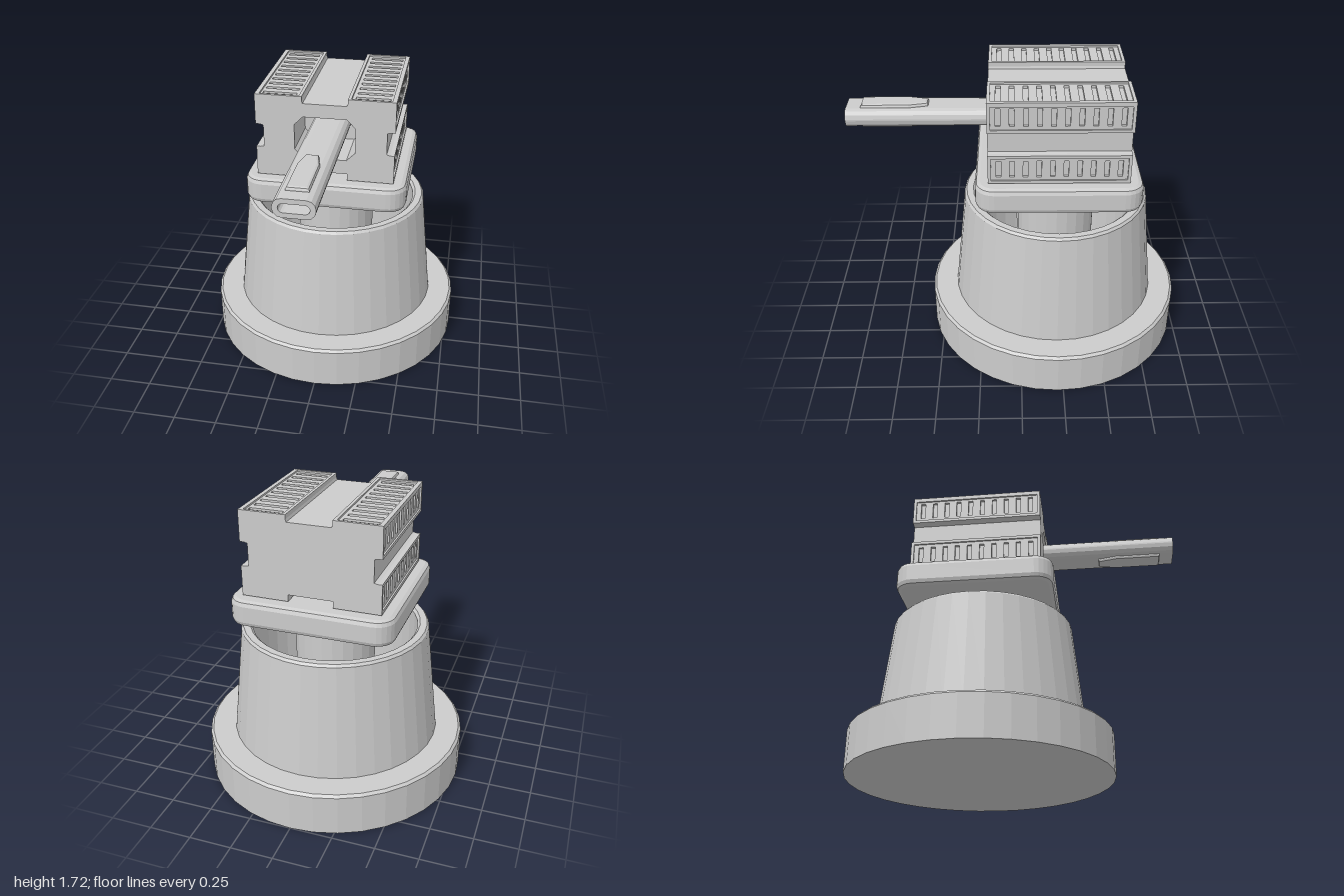
import * as THREE from 'three';

const AXIS_Z = -0.215;
const material = new THREE.MeshStandardMaterial({ color: 0xcccccc, flatShading: true });

function add(parent, name, geometry, x = 0, y = 0, z = 0) {
  const mesh = new THREE.Mesh(geometry, material);
  mesh.name = name;
  mesh.position.set(x, y, z);
  parent.add(mesh);
  return mesh;
}

const points = (list) => list.map(([x, y]) => new THREE.Vector2(x, y));
const lathe = (list, sides = 36) => new THREE.LatheGeometry(points(list), sides);

// Rectangle with corners cut (segments = 1) or rounded
function rectPoints(w, h, r = 0, segments = 1) {
  if (!r) return points([[-w / 2, -h / 2], [w / 2, -h / 2], [w / 2, h / 2], [-w / 2, h / 2]]);
  const out = [];
  for (let corner = 0; corner < 4; corner++) {
    const sx = corner === 0 || corner === 3 ? 1 : -1;
    const sy = corner < 2 ? 1 : -1;
    for (let i = 0; i <= segments; i++) {
      const a = (corner + i / segments) * Math.PI / 2;
      out.push(new THREE.Vector2(sx * (w / 2 - r) + r * Math.cos(a), sy * (h / 2 - r) + r * Math.sin(a)));
    }
  }
  return out;
}

const moved = (list, dx, dy) => list.map((p) => new THREE.Vector2(p.x + dx, p.y + dy));

function extrude(outline, depth, holes = [], bevel = 0) {
  const shape = new THREE.Shape(outline);
  shape.holes = holes.map((h) => new THREE.Path(h));
  return new THREE.ExtrudeGeometry(shape, {
    depth: depth - 2 * bevel, bevelEnabled: bevel > 0, bevelSize: bevel,
    bevelThickness: bevel, bevelOffset: -bevel, bevelSegments: 2,
  }).translate(0, 0, bevel);
}

// Lays an extrusion flat so its depth runs upward
const flat = (geometry) => geometry.rotateX(-Math.PI / 2);

// Slotted cover: recessed grille with a raised rim, growing along local +y
function ventPanel(width, length) {
  const panel = new THREE.Group();
  panel.name = 'ventPanel';
  const slots = [];
  for (let i = 0; i < 10; i++) {
    slots.push(moved(rectPoints(width - 0.075, 0.027), 0, (i - 4.5) * 0.075));
  }
  add(panel, 'grille', flat(extrude(rectPoints(width, length), 0.015, slots)));
  add(panel, 'rim', flat(extrude(rectPoints(width, length), 0.01,
    [rectPoints(width - 0.036, length - 0.036)])), 0, 0.015);
  return panel;
}

export function createModel() {
  const model = new THREE.Group();
  model.name = 'turret';

  // Round foot, hollow tapered pedestal and the central post
  add(model, 'base', lathe([[0, 0], [0.785, 0], [0.785, 0.245], [0.77, 0.26], [0, 0.26]]), 0, 0, AXIS_Z);
  add(model, 'pedestal', lathe([
    [0.63, 0.255], [0.557, 0.94], [0.545, 0.955], [0.505, 0.955],
    [0.49, 0.94], [0.49, 0.3], [0, 0.3],
  ]), 0, 0, AXIS_Z);
  add(model, 'post', new THREE.CylinderGeometry(0.238, 0.238, 0.8, 24), 0, 0.69, AXIS_Z);

  // Swivel plate
  add(model, 'swivelPlate', flat(extrude(rectPoints(0.95, 0.95, 0.11, 6), 0.155, [], 0.03)), 0, 1.065, AXIS_Z);

  // Housing core: grooved on all four sides, with a socket in the front
  const half = [
    [0.13, 1.265], [0.13, 1.225], [0.375, 1.225], [0.375, 1.4], [0.355, 1.405],
    [0.355, 1.535], [0.375, 1.54], [0.375, 1.695], [0.13, 1.695], [0.125, 1.68],
  ];
  const outline = points([...half, ...half.map(([x, y]) => [-x, y]).reverse()]);
  const socket = moved(rectPoints(0.35, 0.25, 0.05), 0, 1.475);
  const housing = new THREE.Group();
  housing.name = 'housing';
  model.add(housing);
  add(housing, 'housingFront', extrude(outline, 0.3, [socket]), 0, 0, -0.115);
  add(housing, 'housingRear', extrude(outline, 0.495), 0, 0, -0.61);

  // Vent panels on the top and in pairs on both sides
  const length = 0.795;
  for (const side of [-1, 1]) {
    const top = ventPanel(0.27, length);
    top.position.set(side * 0.265, 1.695, -0.2125);
    housing.add(top);
    for (const [y, width] of [[1.3125, 0.175], [1.63, 0.18]]) {
      const panel = ventPanel(width, length);
      panel.rotation.z = -side * Math.PI / 2;
      panel.position.set(side * 0.375, y, -0.2125);
      housing.add(panel);
    }
  }

  // Flattened hollow barrel
  const barrel = new THREE.Group();
  barrel.name = 'barrel';
  barrel.position.y = 1.4725;
  model.add(barrel);
  add(barrel, 'barrelTube', extrude(rectPoints(0.22, 0.105, 0.048, 3), 1.115,
    [rectPoints(0.16, 0.05, 0.024, 3)]), 0, 0, -0.115);

  // Tapered pads above and below the muzzle
  const pad = points([[-0.06, -0.915], [0.06, -0.915], [0.06, -0.64], [0.035, -0.53], [-0.035, -0.53], [-0.06, -0.64]]);
  add(barrel, 'upperPad', flat(extrude(pad, 0.045, [], 0.015)), 0, 0.028, 0);
  add(barrel, 'lowerPad', flat(extrude(pad, 0.045, [], 0.015)), 0, -0.073, 0);

  return model;
}
